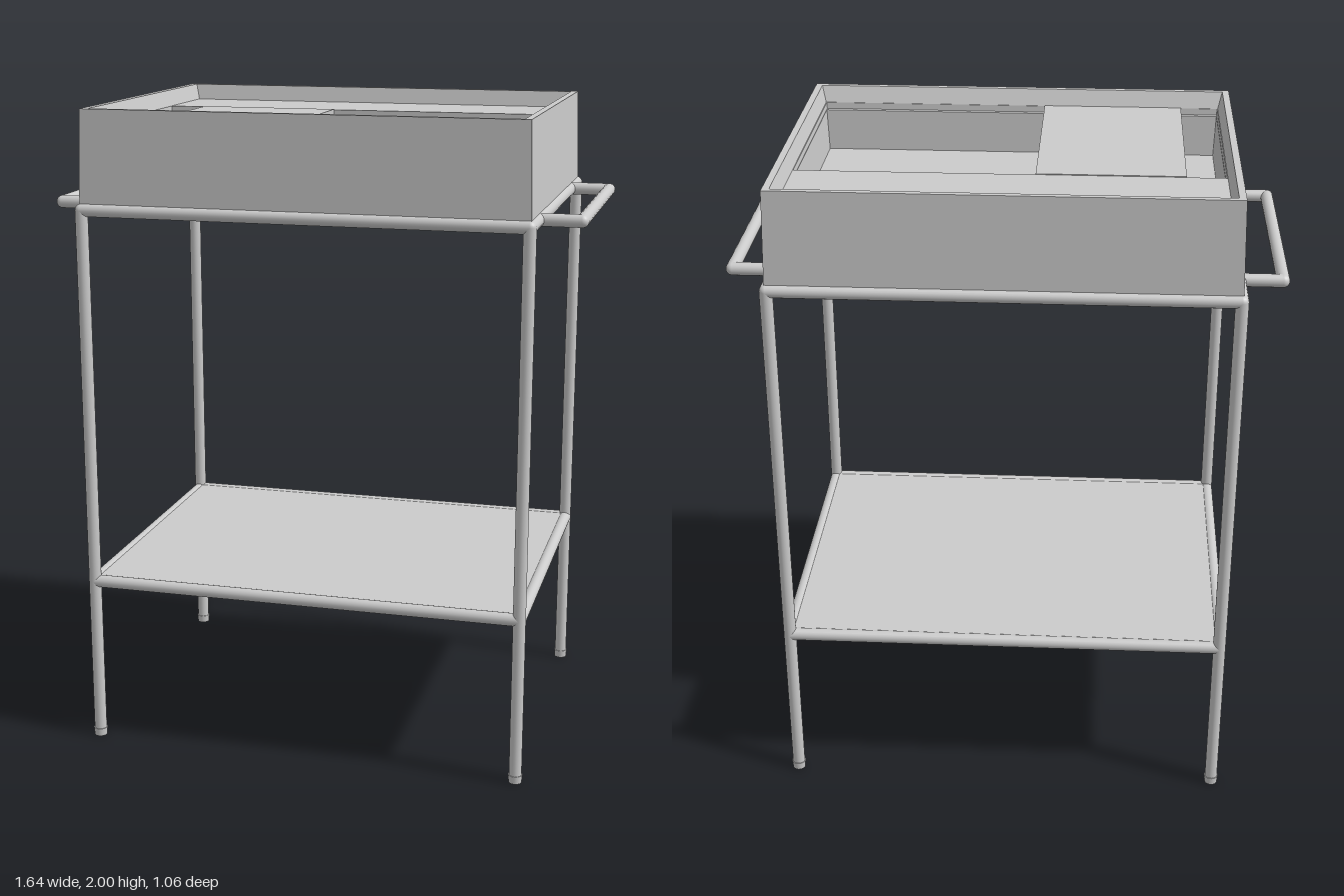
import * as THREE from 'three';

const material = new THREE.MeshStandardMaterial({ color: 0xcccccc });
const R = 0.0195, LX = 0.675, LZ = 0.509, TOP = 1.7, LOW = 0.525;

function add(parent, name, geometry, x = 0, y = 0, z = 0) {
  const mesh = new THREE.Mesh(geometry, material);
  mesh.name = name;
  mesh.position.set(x, y, z);
  parent.add(mesh);
  return mesh;
}

// Straight round bar between two points
function bar(parent, name, a, b, r = R) {
  const from = new THREE.Vector3(...a), to = new THREE.Vector3(...b);
  const dir = to.clone().sub(from);
  const mesh = add(parent, name, new THREE.CylinderGeometry(r, r, dir.length(), 20));
  mesh.position.copy(from).add(to).multiplyScalar(0.5);
  mesh.quaternion.setFromUnitVectors(new THREE.Vector3(0, 1, 0), dir.normalize());
}

function joint(parent, x, y, z) {
  add(parent, 'joint', new THREE.SphereGeometry(R, 20, 12), x, y, z);
}

// Rectangular frame of four bars
function frame(parent, name, y) {
  for (const s of [-1, 1]) {
    bar(parent, name, [-LX, y, s * LZ], [LX, y, s * LZ]);
    bar(parent, name, [s * LX, y, -LZ], [s * LX, y, LZ]);
  }
}

// Flat-faced solid through rectangles [x0, x1, z0, z1, y], closed at both ends
function rectLoft(rings) {
  const loops = rings.map(([x0, x1, z0, z1, y]) =>
    [[x0, y, z1], [x1, y, z1], [x1, y, z0], [x0, y, z0]]);
  const pos = [];
  const quad = (a, b, c, d) => pos.push(...a, ...b, ...c, ...a, ...c, ...d);
  for (let i = 0; i < loops.length - 1; i++) {
    for (let k = 0; k < 4; k++) {
      const n = (k + 1) % 4;
      quad(loops[i][k], loops[i][n], loops[i + 1][n], loops[i + 1][k]);
    }
  }
  quad(...[...loops[0]].reverse());
  quad(...loops[loops.length - 1]);
  const geometry = new THREE.BufferGeometry();
  geometry.setAttribute('position', new THREE.Float32BufferAttribute(pos, 3));
  geometry.computeVertexNormals();
  return geometry;
}

export function createModel() {
  const model = new THREE.Group();
  model.name = 'washstand';

  // Tubular stand: legs with feet, upper and lower frames
  const stand = new THREE.Group();
  stand.name = 'stand';
  model.add(stand);
  for (const sx of [-1, 1]) {
    for (const sz of [-1, 1]) {
      bar(stand, 'leg', [sx * LX, 0.02, sz * LZ], [sx * LX, TOP, sz * LZ]);
      add(stand, 'foot', new THREE.CylinderGeometry(0.022, 0.02, 0.025, 20),
        sx * LX, 0.0125, sz * LZ);
      joint(stand, sx * LX, TOP, sz * LZ);
    }
  }
  frame(stand, 'upperRail', TOP);
  frame(stand, 'lowerRail', LOW);

  // Towel handles on both sides
  for (const s of [-1, 1]) {
    const handle = new THREE.Group();
    handle.name = 'towelHandle';
    const x = s * 0.802, z = 0.35;
    bar(handle, 'handleBar', [x, TOP, -z], [x, TOP, z]);
    for (const e of [-1, 1]) {
      bar(handle, 'handleArm', [s * LX, TOP, e * z], [x, TOP, e * z]);
      joint(handle, x, TOP, e * z);
    }
    model.add(handle);
  }

  // Lower shelf
  add(model, 'shelf', new THREE.BoxGeometry(1.34, 0.016, 1.008), 0, 0.532, 0);

  // Basin: outer walls, rim, rear deck, bowl with ledges for the board
  add(model, 'basin', rectLoft([
    [-0.68, 0.68, -0.512, 0.512, 1.705],
    [-0.671, 0.671, -0.506, 0.506, 2],
    [-0.65, 0.65, -0.488, 0.488, 2],
    [-0.637, 0.637, -0.475, 0.468, 1.95],
    [-0.635, 0.635, -0.19, 0.466, 1.95],
    [-0.634, 0.634, -0.189, 0.465, 1.93],
    [-0.633, 0.633, -0.174, 0.45, 1.93],
    [-0.628, 0.628, -0.17, 0.446, 1.8],
  ]));

  // Sliding board resting on the ledges
  add(model, 'board', new THREE.BoxGeometry(0.44, 0.021, 0.653), -0.298, 1.9415, 0.138);

  // Drain ring and cover
  const ring = add(model, 'drainRing', new THREE.TorusGeometry(0.064, 0.005, 8, 40), 0, 1.8, 0.138);
  ring.rotation.x = Math.PI / 2;
  add(model, 'drainCover', new THREE.CylinderGeometry(0.058, 0.058, 0.008, 40), 0, 1.802, 0.138);

  return model;
}
